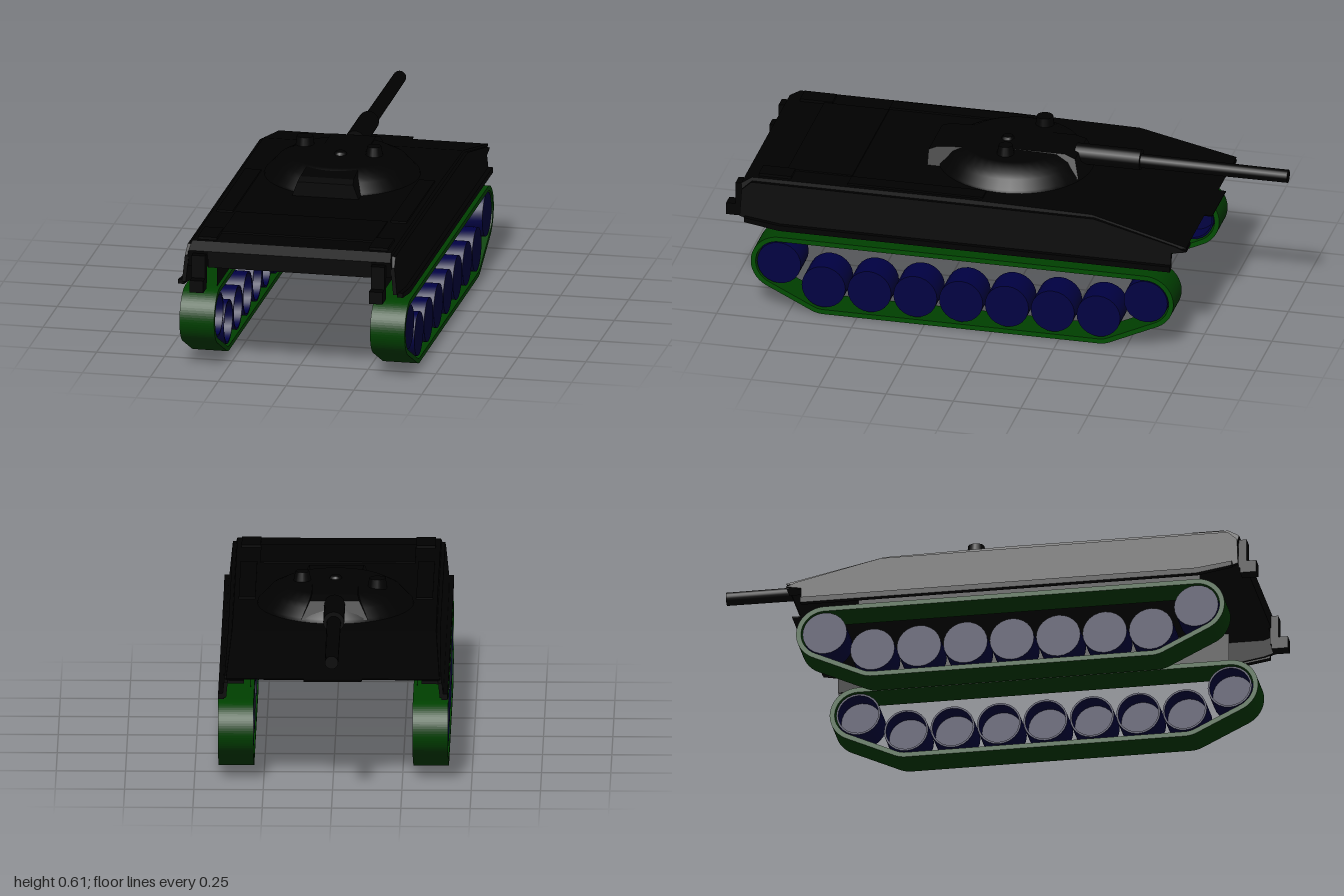
import * as THREE from 'three';
import { toCreasedNormals } from 'three/addons/utils/BufferGeometryUtils.js';

export function createModel() {
  const root = new THREE.Group();
  const material = (name, color, side = THREE.FrontSide) => {
    const m = new THREE.MeshStandardMaterial({ color, side });
    m.name = name;
    return m;
  };
  const black = material('black armour', 0x000000, THREE.DoubleSide);
  const green = material('green track', 0x004000);
  const edgeGreen = material('green track edge', 0x004c00);
  const blue = material('navy wheel', 0x000042);

  const add = (name, geometry, mat, x = 0, y = 0, z = 0) => {
    const mesh = new THREE.Mesh(geometry, mat);
    mesh.name = name;
    mesh.position.set(x, y, z);
    root.add(mesh);
    return mesh;
  };
  const box = (name, w, h, d, x, y, z) =>
    add(name, new THREE.BoxGeometry(w, h, d), black, x, y, z);
  // Side profile of (z, y) points, extruded across x and centred
  const across = (shape, width) =>
    new THREE.ExtrudeGeometry(shape, { depth: width, bevelEnabled: false, curveSegments: 16 })
      .rotateY(-Math.PI / 2).translate(width / 2, 0, 0);
  const profile = pts => new THREE.Shape(pts.map(p => new THREE.Vector2(...p)));
  const moveX = (geometry, rule) => {
    const p = geometry.attributes.position;
    for (let i = 0; i < p.count; i++) p.setX(i, rule(p.getX(i), p.getY(i)));
    geometry.computeVertexNormals();
    return geometry;
  };
  // Cylinder along z
  const rod = (r1, r2, len) => new THREE.CylinderGeometry(r1, r2, len, 20).rotateX(-Math.PI / 2);

  // Hull with sloped nose, narrowing towards the deck
  const hull = profile([[0.93, 0.41], [0.94, 0.47], [0.9, 0.495], [0.1, 0.497], [-0.36, 0.49],
    [-0.715, 0.405], [-0.71, 0.4], [0.9, 0.4]]);
  add('hull', moveX(across(hull, 2), (x, y) => x * (0.386 - 0.2 * Math.max(0, y - 0.4))), black);
  box('noseStep', 0.21, 0.004, 0.05, 0, 0.403, -0.718);
  box('engineDeck', 0.56, 0.008, 0.24, 0, 0.497, 0.67);
  box('rearPlate', 0.6, 0.06, 0.02, 0, 0.44, 0.93);

  for (const s of [1, -1]) {
    // Slanted side skirt and its outward lip
    const skirt = profile([[0.94, 0.35], [0.935, 0.45], [0.9, 0.482], [-0.37, 0.48], [-0.68, 0.405],
      [-0.715, 0.39], [-0.66, 0.38], [-0.66, 0.32], [0.79, 0.32], [0.9, 0.338]]);
    add('sideSkirt', moveX(across(skirt, 0.014), (x, y) => x + s * (0.39 - 0.1 * (y - 0.34))), black);
    const lip = profile([[0.92, 0.335], [0.92, 0.352], [0.79, 0.335], [-0.66, 0.335],
      [-0.66, 0.314], [0.79, 0.314]]);
    add('skirtLip', across(lip, 0.022), black, s * 0.403);
    box('frontMudguard', 0.06, 0.012, 0.05, s * 0.35, 0.393, -0.69);
    // Flat sheet above the tracks
    add('innerPlate', new THREE.PlaneGeometry(1.25, 0.12).rotateY(Math.PI / 2), black, s * 0.3, 0.345, 0.16);
    // Raised stowage on the deck edge and the rear hook
    box('deckStowage', 0.06, 0.012, 0.5, s * 0.32, 0.497, 0.3);
    box('rearStowage', 0.07, 0.014, 0.12, s * 0.315, 0.498, 0.82);
    box('rearHookArm', 0.05, 0.11, 0.03, s * 0.33, 0.405, 0.95);
    box('rearHook', 0.05, 0.045, 0.06, s * 0.33, 0.353, 0.97);
  }

  // Turret dome with rear bustle
  const dome = [[0.285, 0.485], [0.28, 0.505], [0.25, 0.535], [0.235, 0.552], [0.19, 0.574], [0, 0.579]];
  add('turret', new THREE.LatheGeometry(dome.map(p => new THREE.Vector2(...p)), 40), black, 0, 0, 0.01);
  const bustle = profile([[0.31, 0.49], [0.31, 0.55], [0.28, 0.562], [0.16, 0.572], [0.1, 0.57], [0.1, 0.49]]);
  add('turretBustle', moveX(across(bustle, 0.25), (x, y) => x * (1 - 3 * (y - 0.49))), black);
  const cheek = profile([[0, 0.5], [0, 0.577], [-0.19, 0.578], [-0.23, 0.565], [-0.25, 0.5]]);
  add('turretFront', moveX(across(cheek, 0.24), (x, y) => x * (1 - 4 * (y - 0.5))), black);

  // Hatches and sight
  add('commanderCupola', new THREE.CylinderGeometry(0.03, 0.036, 0.045, 16), black, -0.152, 0.584, -0.06);
  add('loaderCupola', new THREE.CylinderGeometry(0.025, 0.034, 0.045, 16), black, 0.12, 0.587, 0.02);
  add('centreSight', new THREE.CylinderGeometry(0.018, 0.03, 0.02, 10), black, 0, 0.578, 0.04);

  // Gun
  add('gunSleeve', rod(0.038, 0.038, 0.24), black, 0, 0.547, -0.335);
  add('gunBarrel', rod(0.024, 0.027, 0.8), black, 0, 0.543, -0.6);

  // Track band: one loop wrapped round four equal circles
  const rearZ = 0.79, frontZ = -0.57, highY = 0.185, lowY = 0.104, lowRear = 0.625, lowFront = -0.395;
  const loop = (path, r) => {
    const a = Math.atan2(-(rearZ - lowRear), highY - lowY);
    const b = Math.PI + Math.atan2(lowFront - frontZ, highY - lowY);
    path.absarc(rearZ, highY, r, a, Math.PI / 2, false);
    path.absarc(frontZ, highY, r, Math.PI / 2, b, false);
    path.absarc(lowFront, lowY, r, b, Math.PI * 1.5, false);
    path.absarc(lowRear, lowY, r, -Math.PI / 2, a, false);
    return path;
  };
  const band = loop(new THREE.Shape(), 0.104);
  band.holes.push(loop(new THREE.Path(), 0.086));
  const wheels = [[rearZ, highY], [frontZ, highY]];
  for (let i = 0; i < 7; i++) wheels.push([lowRear - 0.17 * i, 0.107]);
  // Wheel: closed face outwards, recessed on the inner side
  const cup = [[0, -0.06], [0.081, -0.06], [0.081, 0.06], [0.074, 0.06], [0.074, -0.01], [0, -0.01]];
  const wheel = toCreasedNormals(
    new THREE.LatheGeometry(cup.map(p => new THREE.Vector2(...p)), 24), 0.6);
  for (const s of [1, -1]) {
    add('track', across(band, 0.128), [edgeGreen, green], s * 0.351);
    for (const [z, y] of wheels)
      add('wheel', wheel, blue, s * 0.351, y, z).rotation.z = s * Math.PI / 2;
  }
  return root;
}
